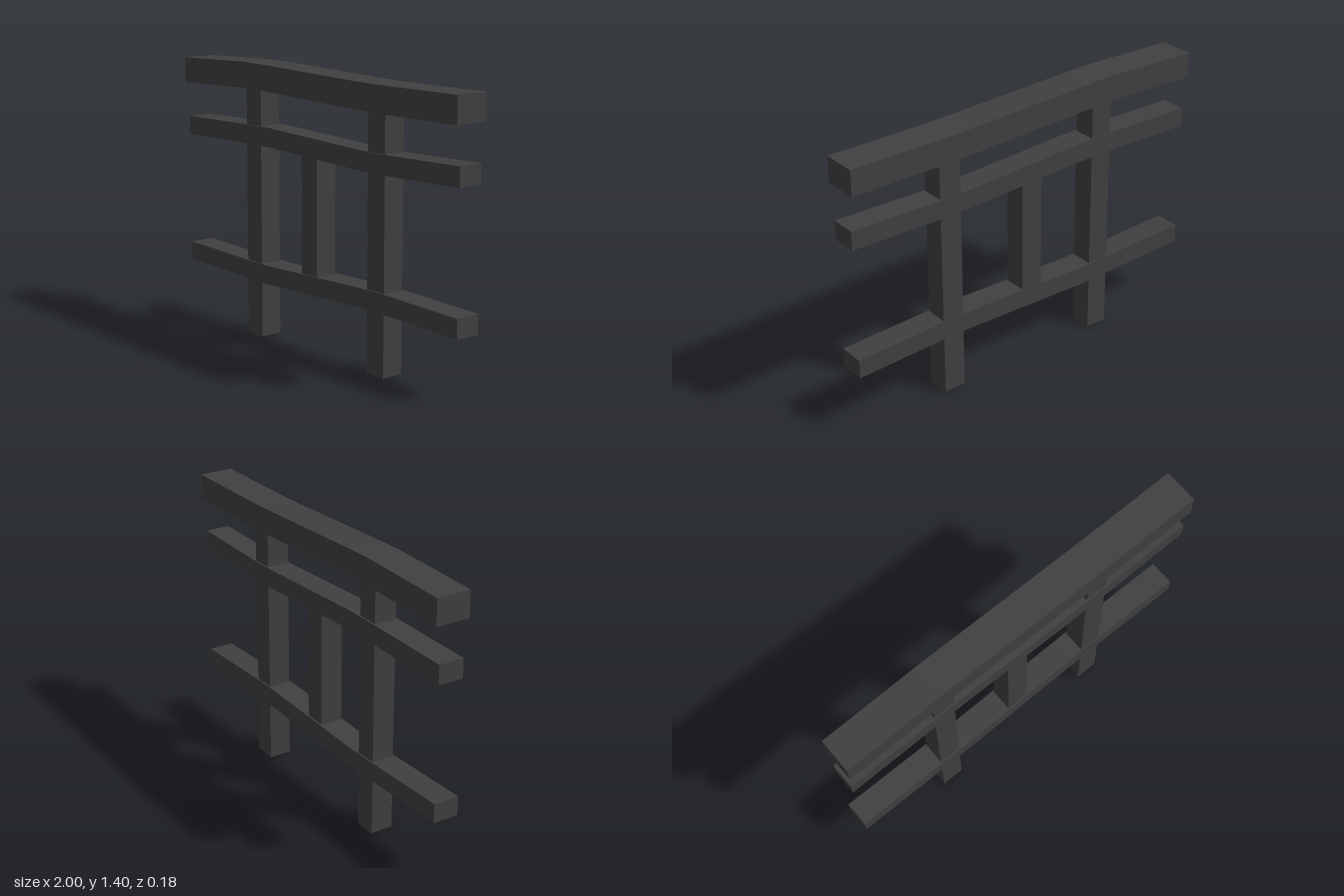
import * as THREE from 'three';

export function createModel() {
  const group = new THREE.Group();
  group.name = 'fence';
  const wood = new THREE.MeshStandardMaterial({ color: 0x404040, flatShading: true });

  function add(name, geometry) {
    const mesh = new THREE.Mesh(geometry, wood);
    mesh.name = name;
    group.add(mesh);
    return mesh;
  }

  // Slightly warped horizontal beam: top edge heights at shared stations
  const stations = [-1, -0.5, -0.33, 0.33, 0.5, 1];
  function rail(name, tops, thickness, depth) {
    const top = stations.map((x, i) => new THREE.Vector2(x, tops[i]));
    const bottom = top.map((p) => new THREE.Vector2(p.x, p.y - thickness)).reverse();
    const geometry = new THREE.ExtrudeGeometry(new THREE.Shape([...bottom, ...top]), {
      depth, bevelEnabled: false,
    });
    geometry.translate(0, 0, -depth / 2);
    add(name, geometry);
  }
  rail('topRail', [1.38, 1.398, 1.396, 1.378, 1.376, 1.38], 0.13, 0.176);
  rail('middleRail', [1.071, 1.082, 1.084, 1.06, 1.058, 1.071], 0.096, 0.13);
  rail('bottomRail', [0.395, 0.384, 0.382, 0.406, 0.408, 0.395], 0.096, 0.13);

  // Upright posts
  function post(name, x, y0, y1) {
    add(name, new THREE.BoxGeometry(0.115, y1 - y0, 0.115)).position.set(x, (y0 + y1) / 2, 0);
  }
  post('rightPost', -0.457, 0, 1.32);
  post('leftPost', 0.457, 0, 1.32);
  post('centrePost', -0.023, 0.35, 1.02);

  return group;
}
